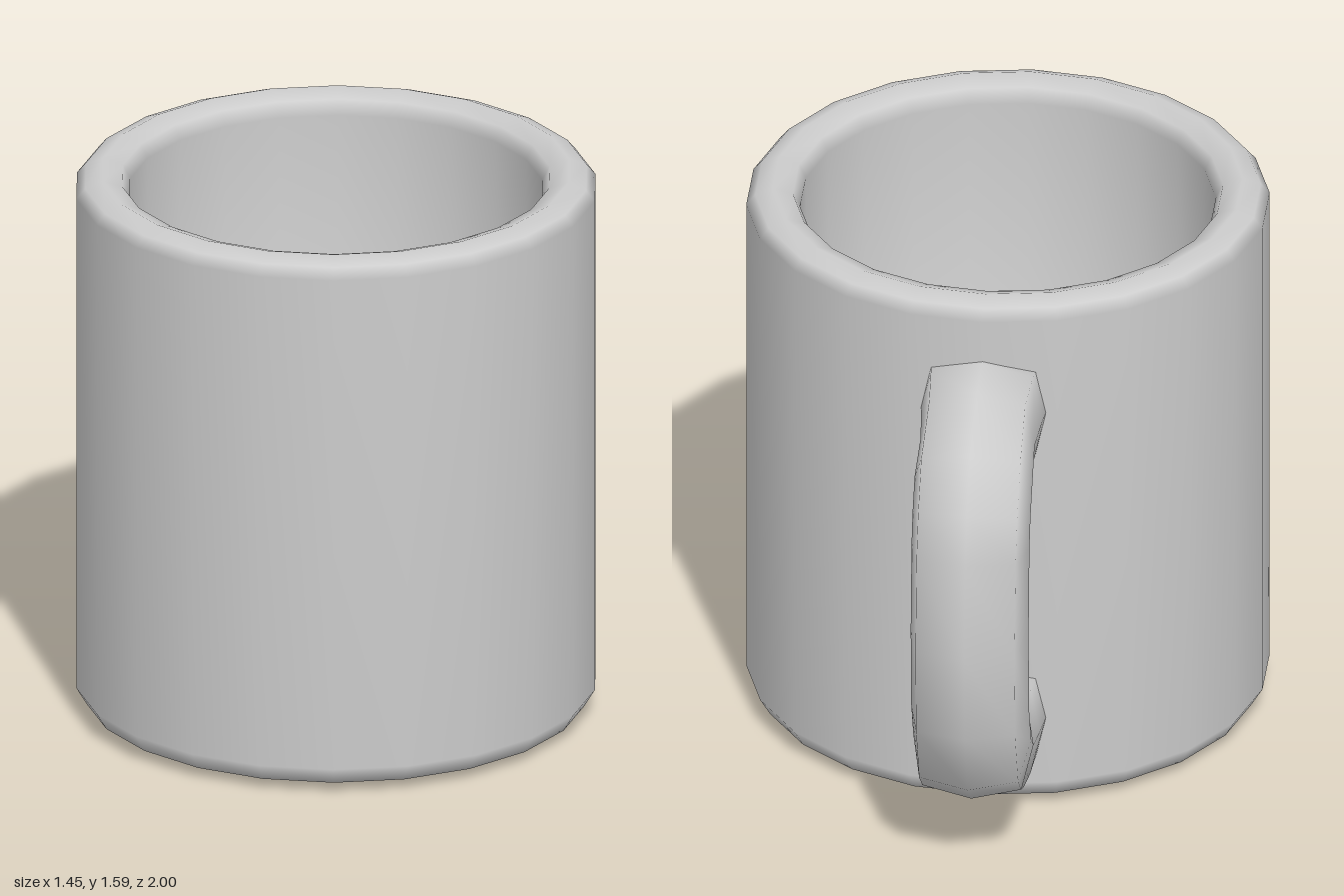
import * as THREE from 'three';

// Lofts a rounded-square section through [outerZ, outerY, innerZ, innerY, halfWidth] stations.
function loftHandle(stations) {
  // section points: x as a share of the half width, t from inner (-1) to outer (1)
  const section = [[0, 1], [0.84, 0.8], [1, 0], [0.84, -0.8], [0, -1], [-0.84, -0.8], [-1, 0], [-0.84, 0.8]];
  const n = section.length;
  const positions = [];
  const index = [];
  stations.forEach(([oz, oy, iz, iy, w], s) => {
    section.forEach(([x, t], k) => {
      const m = (1 + t) / 2;
      positions.push(x * w, iy + (oy - iy) * m, iz + (oz - iz) * m);
      if (s < stations.length - 1) {
        const a = s * n + k;
        const b = s * n + ((k + 1) % n);
        index.push(a, b, a + n, b, b + n, a + n);
      }
    });
  });
  const geometry = new THREE.BufferGeometry();
  geometry.setAttribute('position', new THREE.Float32BufferAttribute(positions, 3));
  geometry.setIndex(index);
  geometry.computeVertexNormals();
  return geometry;
}

export function createModel() {
  const model = new THREE.Group();
  model.name = 'mug';
  const ceramic = new THREE.MeshStandardMaterial({ color: 0xcccccc });
  ceramic.name = 'grey ceramic';

  // Cup: base, outer wall, rounded rim, inner wall and floor in one profile
  const profile = [
    [0, 0], [0.6, 0], [0.7, 0.03], [0.73, 0.08],
    [0.73, 1.54], [0.705, 1.57], [0.655, 1.59], [0.6, 1.57], [0.58, 1.53],
    [0.57, 0.15], [0, 0.14],
  ].map(([r, y]) => new THREE.Vector2(r, y));
  const cup = new THREE.Mesh(new THREE.LatheGeometry(profile, 22), ceramic);
  cup.name = 'cup';
  cup.position.z = 0.27;
  model.add(cup);

  // Handle: from the upper joint round to the lower joint
  const handle = new THREE.Mesh(loftHandle([
    [-0.43, 1.41, -0.43, 1.09, 0.175],
    [-0.48, 1.42, -0.48, 1.08, 0.17],
    [-0.62, 1.40, -0.60, 1.08, 0.16],
    [-0.82, 1.31, -0.625, 1.06, 0.165],
    [-0.92, 1.17, -0.64, 1.04, 0.165],
    [-0.97, 1.04, -0.65, 1.00, 0.165],
    [-1.00, 0.76, -0.67, 0.76, 0.165],
    [-0.985, 0.50, -0.655, 0.53, 0.165],
    [-0.89, 0.29, -0.63, 0.49, 0.165],
    [-0.79, 0.21, -0.60, 0.465, 0.165],
    [-0.66, 0.15, -0.57, 0.45, 0.16],
    [-0.53, 0.12, -0.50, 0.44, 0.165],
    [-0.43, 0.13, -0.43, 0.44, 0.175],
  ]), ceramic);
  handle.name = 'handle';
  model.add(handle);

  return model;
}
